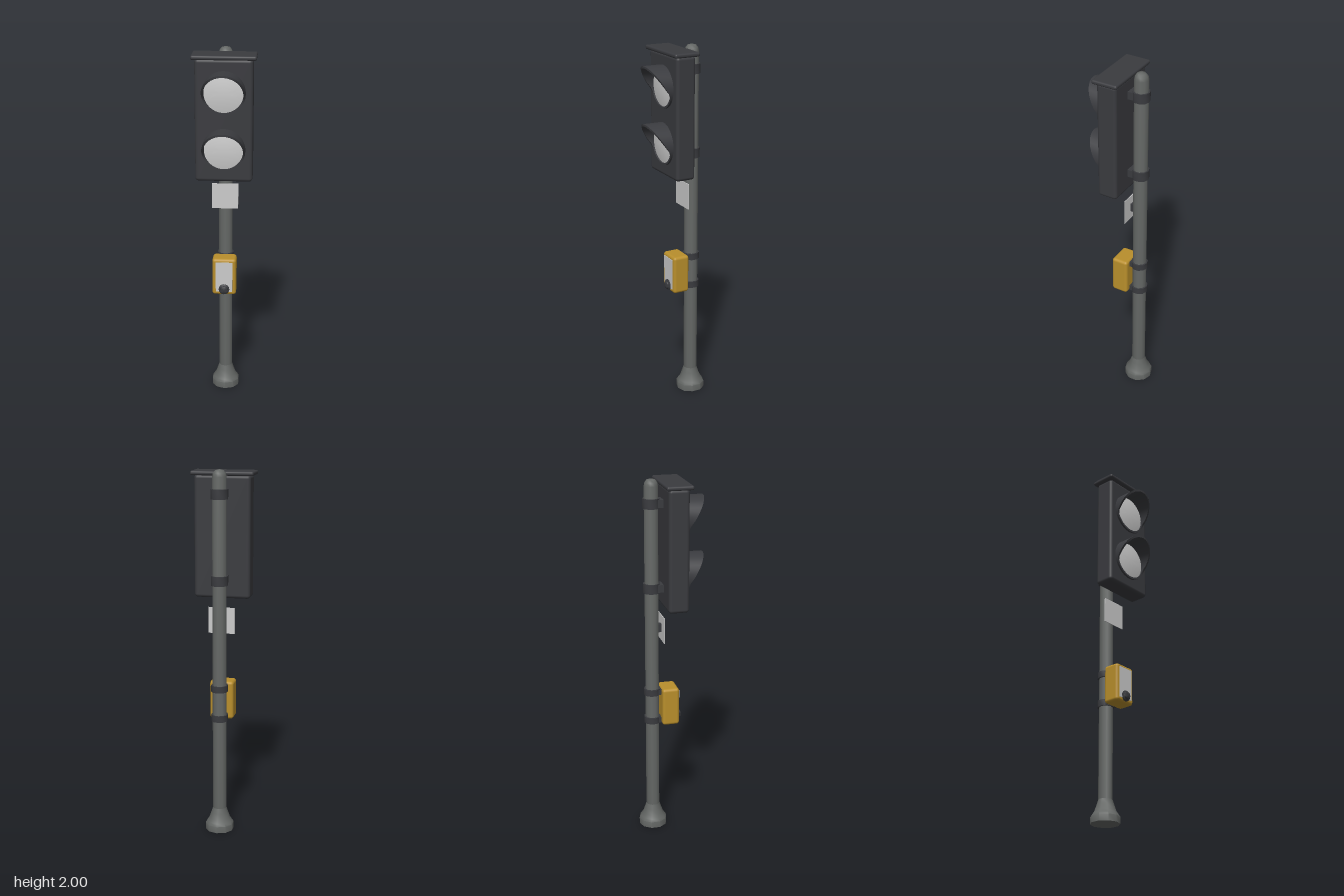
import * as THREE from 'three';
import { RoundedBoxGeometry } from 'three/addons/geometries/RoundedBoxGeometry.js';
import { toCreasedNormals } from 'three/addons/utils/BufferGeometryUtils.js';

const SIDES = 10;
const POLE_Z = -0.101;

const mat = (color, extra = {}) => new THREE.MeshStandardMaterial({ color, ...extra });

// Lathe around y from [radius, height] pairs
function lathe(pairs, sides, crease = 0.8) {
  const g = new THREE.LatheGeometry(pairs.map(([r, y]) => new THREE.Vector2(r, y)), sides);
  return toCreasedNormals(g, crease);
}

// Lens rim whose upper half reaches forward as a hood; angle t is measured from the top
function hoodGeometry() {
  const n = 32, outer = 0.115, inner = 0.104, back = 0.06;
  const pos = [], idx = [];
  for (let i = 0; i <= n; i++) {
    const t = (i / n) * Math.PI * 2, c = Math.cos(t), s = Math.sin(t);
    const front = c > -0.01 ? 0.105 + 0.073 * c : c > -0.25 ? 0.088 : 0.08;
    const loop = [[outer, back], [outer, front], [inner, front], [inner, back]];
    for (const [r, z] of loop) pos.push(r * s, r * c, z);
  }
  for (let i = 0; i < n; i++) {
    for (let j = 0; j < 4; j++) {
      const a = i * 4 + j, b = i * 4 + ((j + 1) % 4);
      idx.push(a, b, a + 4, b, b + 4, a + 4);
    }
  }
  const g = new THREE.BufferGeometry();
  g.setAttribute('position', new THREE.Float32BufferAttribute(pos, 3));
  g.setIndex(idx);
  return toCreasedNormals(g, 0.6);
}

export function createModel() {
  const model = new THREE.Group();
  model.name = 'pedestrianSignal';

  const steel = mat(0x636664);
  const dark = mat(0x3a3b3f);
  const hoodMat = mat(0x3a3b3f, { side: THREE.DoubleSide });
  const yellow = mat(0xb98f2c);
  const grey = mat(0xcccccc);
  const thinGrey = mat(0xcccccc, { side: THREE.DoubleSide });

  const add = (name, geometry, material, x, y, z) => {
    const mesh = new THREE.Mesh(geometry, material);
    mesh.name = name;
    mesh.position.set(x, y, z);
    model.add(mesh);
    return mesh;
  };

  // Pole with domed top
  add('pole', lathe([
    [0.038, 0.1], [0.038, 1.962], [0.034, 1.98], [0.023, 1.994], [0, 2.0],
  ], SIDES, 0.9), steel, 0, 0, POLE_Z);

  // Flared foot
  add('base', lathe([
    [0, 0], [0.079, 0], [0.079, 0.036], [0.07, 0.05],
    [0.058, 0.068], [0.047, 0.1], [0.038, 0.128],
  ], SIDES), steel, 0, 0, POLE_Z);

  // Clamps holding the signal head and the push-button box: [y, height]
  for (const [y, h] of [[1.872, 0.052], [1.417, 0.052], [0.823, 0.036], [0.656, 0.036]]) {
    add('clamp', lathe([
      [0.036, -h / 2], [0.046, -h / 2], [0.046, h / 2], [0.036, h / 2],
    ], SIDES), dark, 0, y, POLE_Z);
    add('clampLug', new THREE.BoxGeometry(0.07, h * 0.8, 0.035), dark, 0, y, -0.055);
  }

  // Signal head and its roof
  add('signalHousing', new RoundedBoxGeometry(0.304, 0.655, 0.111, 3, 0.018), dark, 0, 1.637, 0.0135);
  add('roof', new RoundedBoxGeometry(0.34, 0.023, 0.143, 3, 0.01), dark, 0, 1.973, 0.015);

  // Two hooded lenses
  const hood = hoodGeometry();
  const lens = lathe([[0.105, 0], [0.085, 0.004], [0.045, 0.009], [0, 0.011]], 32, 1);
  lens.rotateX(Math.PI / 2);
  for (const y of [1.79, 1.485]) {
    add('lensHood', hood, hoodMat, 0, y, 0);
    add('lens', lens, thinGrey, 0, y, 0.071);
  }

  // Small sign plate and its mount
  add('signPlate', new THREE.BoxGeometry(0.144, 0.143, 0.004), grey, 0, 1.189, -0.047);
  add('signMount', new THREE.BoxGeometry(0.03, 0.045, 0.025), dark, 0, 1.19, -0.06);

  // Push-button box with face panel and round button
  add('buttonBox', new RoundedBoxGeometry(0.132, 0.214, 0.095, 3, 0.016), yellow, 0, 0.74, -0.0085);
  add('buttonPanel', new THREE.BoxGeometry(0.092, 0.175, 0.006), grey, 0, 0.742, 0.039);
  const button = lathe([
    [0.03, 0], [0.03, 0.008], [0.022, 0.012], [0.02, 0.019], [0.012, 0.023], [0, 0.024],
  ], 16);
  button.rotateX(Math.PI / 2);
  add('pushButton', button, dark, 0, 0.67, 0.038);

  return model;
}
